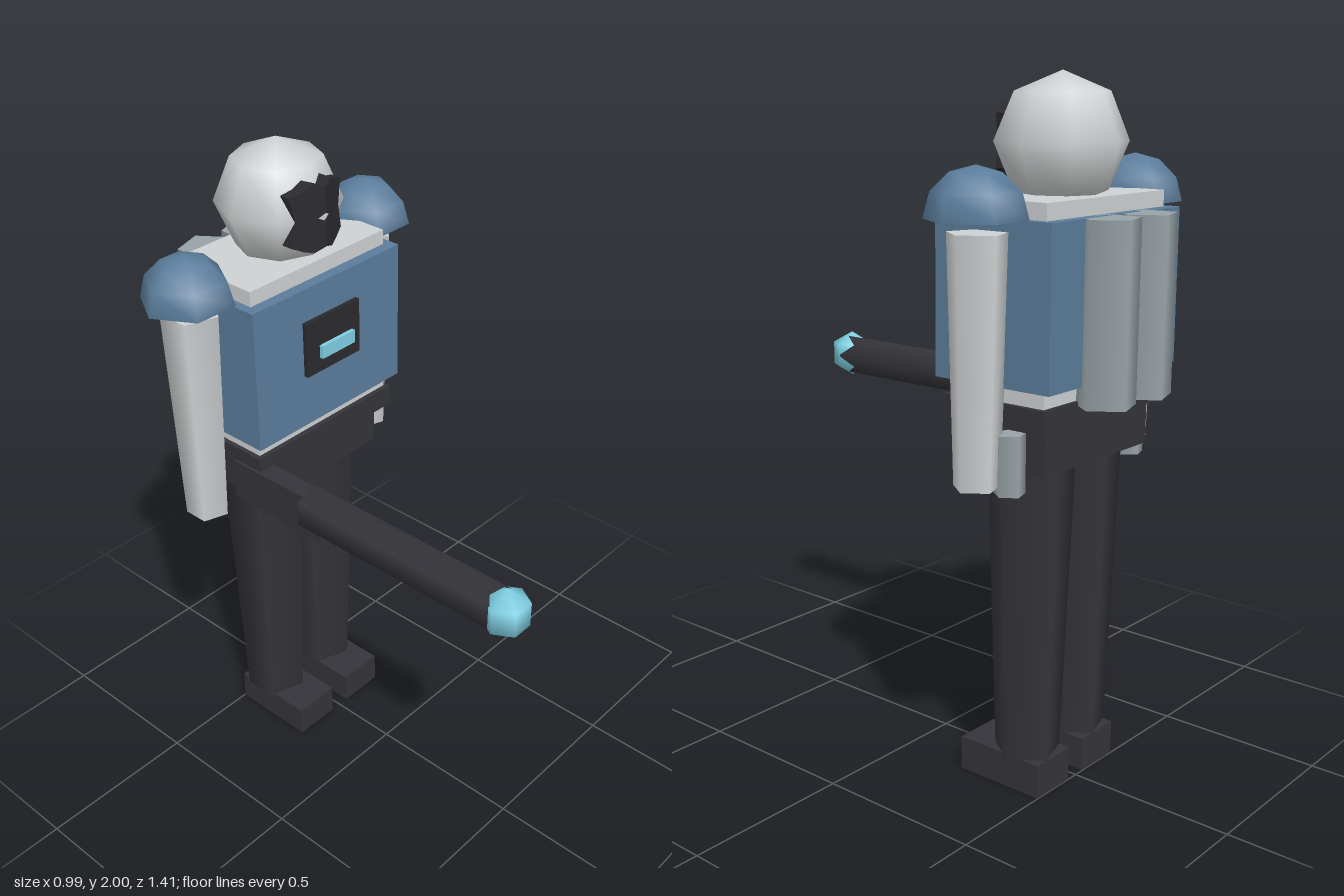
import * as THREE from 'three';

function mat(name, color) {
  const m = new THREE.MeshStandardMaterial({ color });
  m.name = name;
  return m;
}

export function createModel() {
  const root = new THREE.Group();
  root.name = 'armouredFigure';

  const white = mat('paleArmour', 0xcfd2d3);
  const blue = mat('blueArmour', 0x5b7d9c);
  const dark = mat('charcoal', 0x34343a);
  const black = mat('blackGlass', 0x2b2b2f);
  const grey = mat('steelGrey', 0x98a2a7);
  const cyan = mat('cyanGlow', 0x7fd0e4);
  const blueShell = mat('blueShell', 0x5b7d9c);
  blueShell.side = THREE.DoubleSide;

  const Z = -0.405; // depth of the body axis

  function add(name, geometry, material, x = 0, y = 0, z = 0) {
    const m = new THREE.Mesh(geometry, material);
    m.name = name;
    m.position.set(x, y, z);
    root.add(m);
    return m;
  }
  // box given by its limits on each axis
  function box(name, material, x0, x1, y0, y1, z0, z1) {
    return add(name, new THREE.BoxGeometry(x1 - x0, y1 - y0, z1 - z0), material,
      (x0 + x1) / 2, (y0 + y1) / 2, (z0 + z1) / 2);
  }
  // five-sided post with one corner towards +x
  function post(name, material, rTop, rBottom, x, y0, y1, z) {
    const g = new THREE.CylinderGeometry(rTop, rBottom, y1 - y0, 5, 1, false, Math.PI / 2);
    return add(name, g, material, x, (y0 + y1) / 2, z);
  }

  // torso, chest armour and belt
  box('torso', white, -0.268, 0.268, 1.155, 1.68, -0.56, -0.252);
  box('chestArmour', blue, -0.295, 0.295, 1.2, 1.635, -0.595, -0.217);
  box('chestPanel', black, -0.109, 0.109, 1.365, 1.535, -0.219, -0.203);
  box('chestLight', cyan, -0.067, 0.067, 1.417, 1.457, -0.194, -0.182);
  box('belt', dark, -0.283, 0.283, 1.09, 1.155, -0.572, -0.236);
  box('pelvis', dark, -0.24, 0.24, 0.965, 1.09, -0.545, -0.266);

  // head
  add('head', new THREE.SphereGeometry(0.183, 8, 4), white, 0, 1.817, Z);

  // visor: two mirrored halves swept back from the middle
  const half = new THREE.Shape([
    [0, 0.012], [0, 0.086], [0.035, 0.1], [0.065, 0.082], [0.1, 0.072], [0.084, 0],
    [0.1, -0.072], [0.065, -0.09], [0.035, -0.1], [0, -0.086], [0, -0.012], [0.022, 0],
  ].map(([x, y]) => new THREE.Vector2(x, y)));
  const visor = new THREE.ExtrudeGeometry(half, { depth: 0.05, bevelEnabled: false });
  const p = visor.attributes.position;
  for (let i = 0; i < p.count; i++) p.setZ(i, p.getZ(i) - 0.41 * p.getX(i));
  visor.computeVertexNormals();
  for (const s of [-1, 1]) add('visor', visor, black, 0, 1.817, -0.27).scale.x = s;

  // paired limbs, shoulder domes and back tanks
  for (const s of [-1, 1]) {
    const side = s > 0 ? 'left' : 'right';
    add(side + 'Shoulder', new THREE.SphereGeometry(0.136, 6, 3, 0, Math.PI * 2, 0, Math.PI / 2),
      blueShell, s * 0.357, 1.636, Z);
    post(side + 'Arm', white, 0.086, 0.065, s * 0.349, 0.937, 1.603, Z);
    post(side + 'Hand', grey, 0.044, 0.044, s * 0.281, 0.915, 1.08, -0.462);
    post(side + 'Leg', dark, 0.13, 0.097, s * 0.112, 0.09, 1.03, Z);
    box(side + 'Foot', dark, s * 0.109 - 0.075, s * 0.109 + 0.075, 0, 0.1, -0.497, -0.219);
    post(side + 'BackTank', grey, 0.0865, 0.0865, s * 0.086, 1.145, 1.635, -0.624);
  }

  // hand-held blaster on the right hip
  box('blasterBody', dark, -0.292, -0.23, 0.985, 1.112, -0.34, 0.01);
  const barrel = new THREE.CylinderGeometry(0.065, 0.065, 0.7, 5, 1, false, Math.PI / 2);
  barrel.rotateX(Math.PI / 2);
  add('blasterBarrel', barrel, dark, -0.262, 1.068, 0.293);
  add('blasterTip', new THREE.SphereGeometry(0.074, 6, 3), cyan, -0.262, 1.068, 0.646);

  return root;
}
